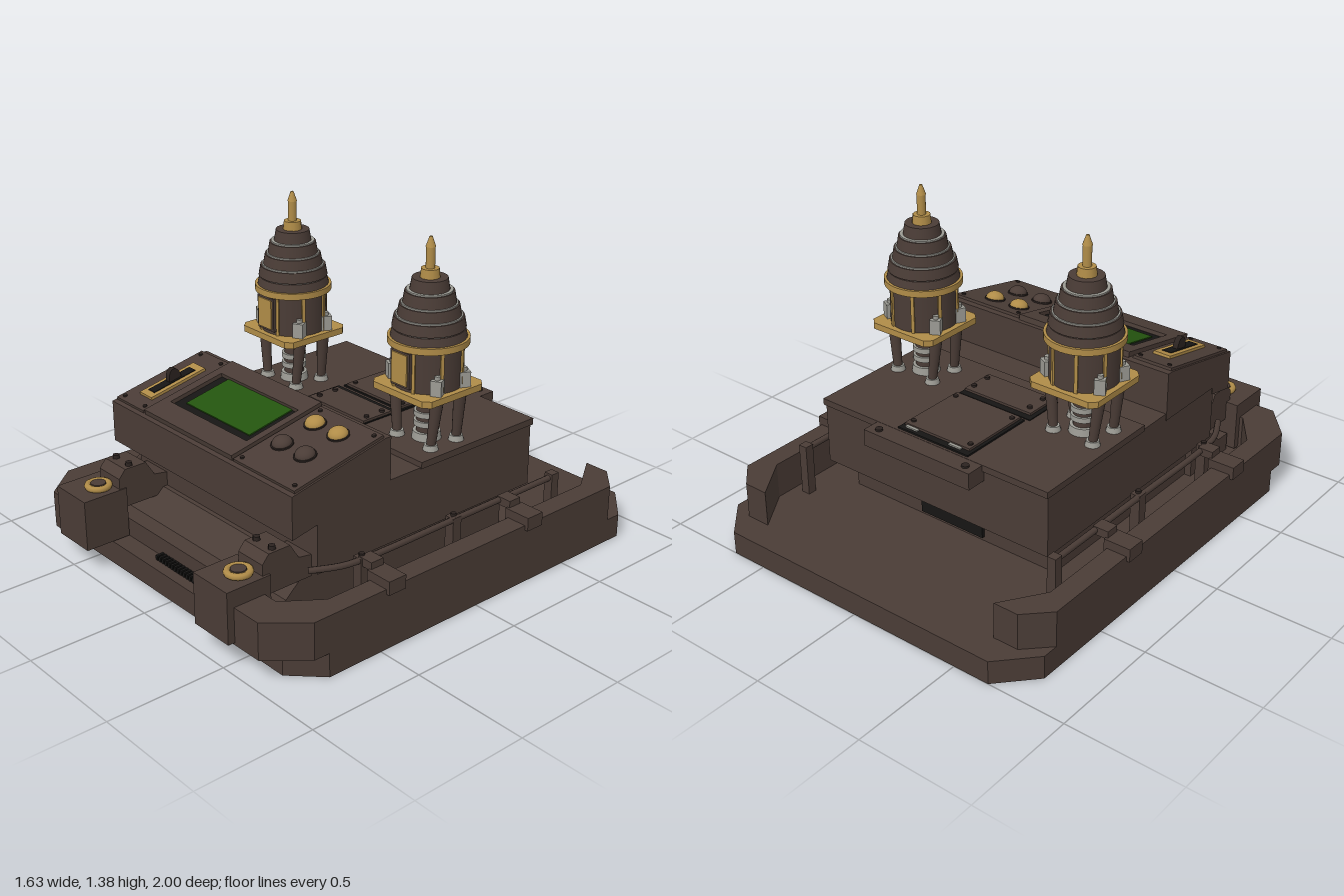
import * as THREE from 'three';

const mat = (name, color) => Object.assign(new THREE.MeshStandardMaterial({ color }), { name });
const brown = mat('dark brown casing', 0x4a3c36);
const gold = mat('brass', 0xb08c48);
const silver = mat('grey metal', 0x9c9b94);
const black = mat('black', 0x161514);
const green = mat('green screen', 0x24540f);
const dark = mat('dark bolts', 0x2b2320);

function add(parent, name, geo, material, x = 0, y = 0, z = 0) {
  const m = new THREE.Mesh(geo, material);
  m.name = name;
  m.position.set(x, y, z);
  parent.add(m);
  return m;
}
// box from its min and max corners
function block(parent, name, material, x0, x1, y0, y1, z0, z1) {
  return add(parent, name, new THREE.BoxGeometry(x1 - x0, y1 - y0, z1 - z0), material,
    (x0 + x1) / 2, (y0 + y1) / 2, (z0 + z1) / 2);
}
// upright cylinder between y0 and y1
function cyl(parent, name, material, r0, r1, y0, y1, x = 0, z = 0, sides = 32) {
  return add(parent, name, new THREE.CylinderGeometry(r1, r0, y1 - y0, sides), material, x, (y0 + y1) / 2, z);
}
const shapeOf = pts => new THREE.Shape(pts.map(p => new THREE.Vector2(...p)));
// plan outline [x, z] raised from y0 to y1
function plan(parent, name, material, pts, y0, y1, hole) {
  const s = shapeOf(pts);
  if (hole) s.holes.push(shapeOf(hole));
  const g = new THREE.ExtrudeGeometry(s, { depth: y1 - y0, bevelEnabled: false }).rotateX(Math.PI / 2);
  return add(parent, name, g, material, 0, y1, 0);
}
// side outline [z, y] swept from x0 to x1
function side(parent, name, material, pts, x0, x1) {
  const g = new THREE.ExtrudeGeometry(shapeOf(pts), { depth: x1 - x0, bevelEnabled: false }).rotateY(-Math.PI / 2);
  return add(parent, name, g, material, x1, 0, 0);
}
const rect = (x0, x1, z0, z1) => [[x0, z0], [x1, z0], [x1, z1], [x0, z1]];
// cylinder between two points
function rod(parent, name, material, a, b, r0, r1 = r0) {
  const p = new THREE.Vector3(...a), q = new THREE.Vector3(...b), d = q.clone().sub(p);
  const m = add(parent, name, new THREE.CylinderGeometry(r1, r0, d.length(), 16), material);
  m.position.copy(p).add(q).multiplyScalar(0.5);
  m.quaternion.setFromUnitVectors(new THREE.Vector3(0, 1, 0), d.normalize());
  return m;
}

function buildBase(root) {
  const g = new THREE.Group(); g.name = 'base'; root.add(g);
  plan(g, 'baseSlab', brown, [[-0.66, -1], [0.66, -1], [0.8, -0.85], [0.8, 0.75], [0.68, 0.87],
    [-0.68, 0.87], [-0.8, 0.75], [-0.8, -0.85]], 0, 0.1);
  for (const s of [-1, 1]) {
    // raised side wall, hooked inwards at both ends
    plan(g, 'sideWall', brown, [[0.8, -0.78], [0.7, -0.88], [0.59, -0.88], [0.71, -0.7], [0.71, 0.68],
      [0.6, 0.83], [0.5, 0.83], [0.5, 0.97], [0.67, 0.97], [0.8, 0.82]].map(([x, z]) => [s * x, z]), 0.1, 0.255);
    // side pipe with posts and clamps
    const path = new THREE.CatmullRomCurve3([[0.645, -0.58], [0.645, 0], [0.645, 0.42], [0.63, 0.54], [0.575, 0.66]]
      .map(([x, z]) => new THREE.Vector3(s * x, 0.305, z)));
    add(g, 'sidePipe', new THREE.TubeGeometry(path, 40, 0.013, 8), brown);
    block(g, 'pipePost', brown, s * 0.645 - 0.02, s * 0.645 + 0.02, 0.1, 0.325, -0.61, -0.57);
    for (const z of [-0.03, 0.45]) {
      block(g, 'pipeBracket', brown, s * 0.635 - 0.022, s * 0.635 + 0.022, 0.1, 0.315, z - 0.022, z + 0.022);
      cyl(g, 'pipeBolt', dark, 0.012, 0.012, 0.315, 0.328, s * 0.635, z, 6);
    }
    for (const z of [-0.305, 0.435]) {
      block(g, 'wallClamp', brown, s * 0.755 - 0.06, s * 0.755 + 0.06, 0.235, 0.292, z - 0.042, z + 0.042);
      block(g, 'clampArm', brown, s * 0.67 - 0.035, s * 0.67 + 0.035, 0.285, 0.32, z - 0.03, z + 0.03);
    }
    // front corner pod
    const cx = s < 0 ? -0.485 : 0.435, bx = s < 0 ? -0.46 : 0.455;
    block(g, 'frontPod', brown, cx - 0.1, cx + 0.1, 0.11, 0.325, 0.8, 1);
    side(g, 'podBracket', brown, [[0.6, 0.24], [0.83, 0.24], [0.83, 0.37], [0.8, 0.405], [0.7, 0.405], [0.66, 0.34], [0.6, 0.33]],
      bx - 0.07, bx + 0.07);
    const ring = add(g, 'podRing', new THREE.TorusGeometry(0.043, 0.014, 8, 28), gold, bx, 0.338, 0.885);
    ring.rotation.x = Math.PI / 2;
    cyl(g, 'podCap', brown, 0.034, 0.03, 0.32, 0.35, bx, 0.885);
    for (const dx of [-0.045, 0.045]) cyl(g, 'bracketBolt', dark, 0.016, 0.014, 0.405, 0.42, bx + dx, 0.765, 6);
  }
  // stepped front sill and vents under the body
  side(g, 'frontSill', brown, [[0.5, 0.1], [0.79, 0.1], [0.79, 0.18], [0.72, 0.18], [0.62, 0.27], [0.5, 0.27]], -0.55, 0.52);
  block(g, 'pedestal', brown, -0.52, 0.52, 0.1, 0.27, -0.42, 0.55);
  block(g, 'rearVent', black, -0.17, 0.15, 0.12, 0.23, -0.435, -0.41);
  for (let i = 0; i < 16; i++) {
    const x = -0.165 + i * 0.02;
    block(g, 'frontVentTooth', black, x, x + 0.012, 0.1, 0.12, 0.785, 0.825);
  }
}

function buildBody(root) {
  const g = new THREE.Group(); g.name = 'body'; root.add(g);
  block(g, 'mainHousing', brown, -0.575, 0.56, 0.26, 0.53, -0.54, 0.6);
  block(g, 'deckPlate', brown, -0.58, 0.565, 0.525, 0.553, -0.55, 0.08);
  block(g, 'rearTab', brown, -0.27, 0.265, 0.48, 0.552, -0.63, -0.5);
  for (const x of [-0.225, 0.215]) cyl(g, 'tabBolt', dark, 0.016, 0.016, 0.552, 0.56, x, -0.595, 12);
  // access hatches
  block(g, 'hatchSeal', black, -0.19, 0.165, 0.55, 0.56, -0.54, -0.19);
  block(g, 'smallHatchSeal', black, -0.205, 0.16, 0.55, 0.557, -0.175, 0.01);
  block(g, 'largeHatch', brown, -0.175, 0.155, 0.55, 0.57, -0.51, -0.195);
  block(g, 'smallHatch', brown, -0.185, 0.155, 0.55, 0.567, -0.145, 0.01);
  for (const x of [-0.11, 0.11]) block(g, 'hatchHinge', silver, x - 0.03, x + 0.03, 0.555, 0.566, -0.525, -0.512);
  for (const x of [-0.155, 0.135])
    for (const z of [-0.48, -0.225, -0.11, -0.025]) cyl(g, 'hatchBolt', dark, 0.011, 0.011, 0.56, 0.576, x, z, 8);

  // sloping control console
  side(g, 'console', brown, [[0.24, 0.5], [0.24, 0.712], [0.27, 0.712], [0.72, 0.62], [0.72, 0.445], [0.59, 0.47], [0.59, 0.5]], -0.578, 0.563);
  const c = new THREE.Group(); c.name = 'controls'; g.add(c);
  c.position.set(0, 0.669, 0.48);
  c.rotation.x = 0.202;
  block(c, 'leverPanel', brown, -0.57, -0.385, -0.02, 0.012, -0.215, 0.225);
  block(c, 'buttonPanel', brown, 0.2, 0.555, -0.02, 0.012, -0.215, 0.225);
  plan(c, 'screenFrame', brown, rect(-0.372, 0.192, -0.225, 0.225), -0.02, 0.022, rect(-0.33, 0.16, -0.135, 0.125));
  block(c, 'screenBezel', black, -0.332, 0.162, -0.004, 0.005, -0.137, 0.127);
  block(c, 'screen', green, -0.285, 0.12, 0.004, 0.01, -0.134, 0.082);
  block(c, 'leverPlate', gold, -0.502, -0.42, 0.01, 0.024, -0.12, 0.155);
  block(c, 'leverSlot', black, -0.482, -0.44, 0.02, 0.027, -0.085, 0.125);
  const lever = add(c, 'lever', new THREE.CylinderGeometry(0.03, 0.03, 0.024, 20), dark, -0.461, 0.028, 0.01);
  lever.rotation.z = Math.PI / 2;
  lever.scale.x = 1.6;
  for (const x of [-0.545, -0.405, 0.225, 0.53])
    for (const z of [-0.19, 0.2]) cyl(c, 'panelBolt', dark, 0.009, 0.009, 0.01, 0.018, x, z, 8);
  for (const x of [0.28, 0.413])
    for (const [z, m] of [[-0.115, gold], [0.05, brown]]) {
      cyl(c, 'buttonCollar', dark, 0.045, 0.045, 0.01, 0.018, x, z);
      const b = add(c, 'button', new THREE.SphereGeometry(0.04, 24, 10, 0, Math.PI * 2, 0, Math.PI / 2), m, x, 0.017, z);
      b.scale.y = 0.75;
    }
}

function buildTower(root, x) {
  const g = new THREE.Group(); g.name = 'tower'; g.position.set(x, 0, -0.1); root.add(g);
  // stem
  cyl(g, 'stemFoot', silver, 0.06, 0.055, 0.55, 0.585);
  cyl(g, 'stem', brown, 0.042, 0.042, 0.58, 0.77);
  for (const y of [0.61, 0.65, 0.71]) cyl(g, 'stemRing', silver, 0.052, 0.052, y, y + 0.022);
  // four legs and clamps
  for (const sx of [-1, 1]) for (const sz of [-1, 1]) {
    cyl(g, 'legFoot', silver, 0.032, 0.026, 0.55, 0.575, sx * 0.095, sz * 0.07, 16);
    rod(g, 'leg', brown, [sx * 0.095, 0.56, sz * 0.07], [sx * 0.118, 0.77, sz * 0.062], 0.018, 0.026);
    const cl = block(g, 'clamp', silver, sx * 0.125 - 0.022, sx * 0.125 + 0.022, 0.79, 0.855, sz * 0.072 - 0.022, sz * 0.072 + 0.022);
    cl.rotation.y = sx * sz * 0.5;
    cyl(g, 'clampPin', silver, 0.012, 0.012, 0.85, 0.87, sx * 0.125, sz * 0.072, 8);
  }
  // square flange with clipped corners
  const f = 0.162, k = 0.135;
  plan(g, 'flange', gold, [[-k, -f], [k, -f], [f, -k], [f, k], [k, f], [-k, f], [-f, k], [-f, -k]], 0.765, 0.792);
  // drum with brass ribs and window plates
  cyl(g, 'drum', brown, 0.14, 0.14, 0.79, 0.962);
  for (let i = 0; i < 8; i++) {
    const a = Math.PI / 8 + i * Math.PI / 4;
    const r = add(g, 'drumRib', new THREE.BoxGeometry(0.014, 0.17, 0.012), gold, 0.141 * Math.sin(a), 0.877, 0.141 * Math.cos(a));
    r.rotation.y = a;
  }
  block(g, 'windowFrame', brown, -0.052, 0.052, 0.81, 0.955, 0.12, 0.151);
  block(g, 'windowPlate', gold, -0.042, 0.042, 0.82, 0.947, 0.15, 0.157);
  cyl(g, 'crownRing', gold, 0.161, 0.161, 0.96, 0.987, 0, 0, 40);
  // stacked tiers with thin grey seams
  const tiers = [[0.15, 0.987, 1.02], [0.145, 1.025, 1.068], [0.125, 1.073, 1.116], [0.105, 1.121, 1.168], [0.078, 1.173, 1.22]];
  tiers.forEach(([r, y0, y1], i) => {
    cyl(g, 'tier', brown, r, r - 0.008, y0, y1);
    if (i < 4) cyl(g, 'tierSeam', silver, r - 0.014, r - 0.014, y1 - 0.002, y1 + 0.006);
  });
  // spire
  cyl(g, 'spireNut', gold, 0.04, 0.036, 1.22, 1.256, 0, 0, 12);
  cyl(g, 'spireRod', gold, 0.018, 0.018, 1.255, 1.345, 0, 0, 16);
  cyl(g, 'spireTip', gold, 0.02, 0.006, 1.34, 1.38, 0, 0, 16);
}

export function createModel() {
  const root = new THREE.Group();
  root.name = 'controlStation';
  buildBase(root);
  buildBody(root);
  for (const x of [-0.412, 0.405]) buildTower(root, x);
  return root;
}
